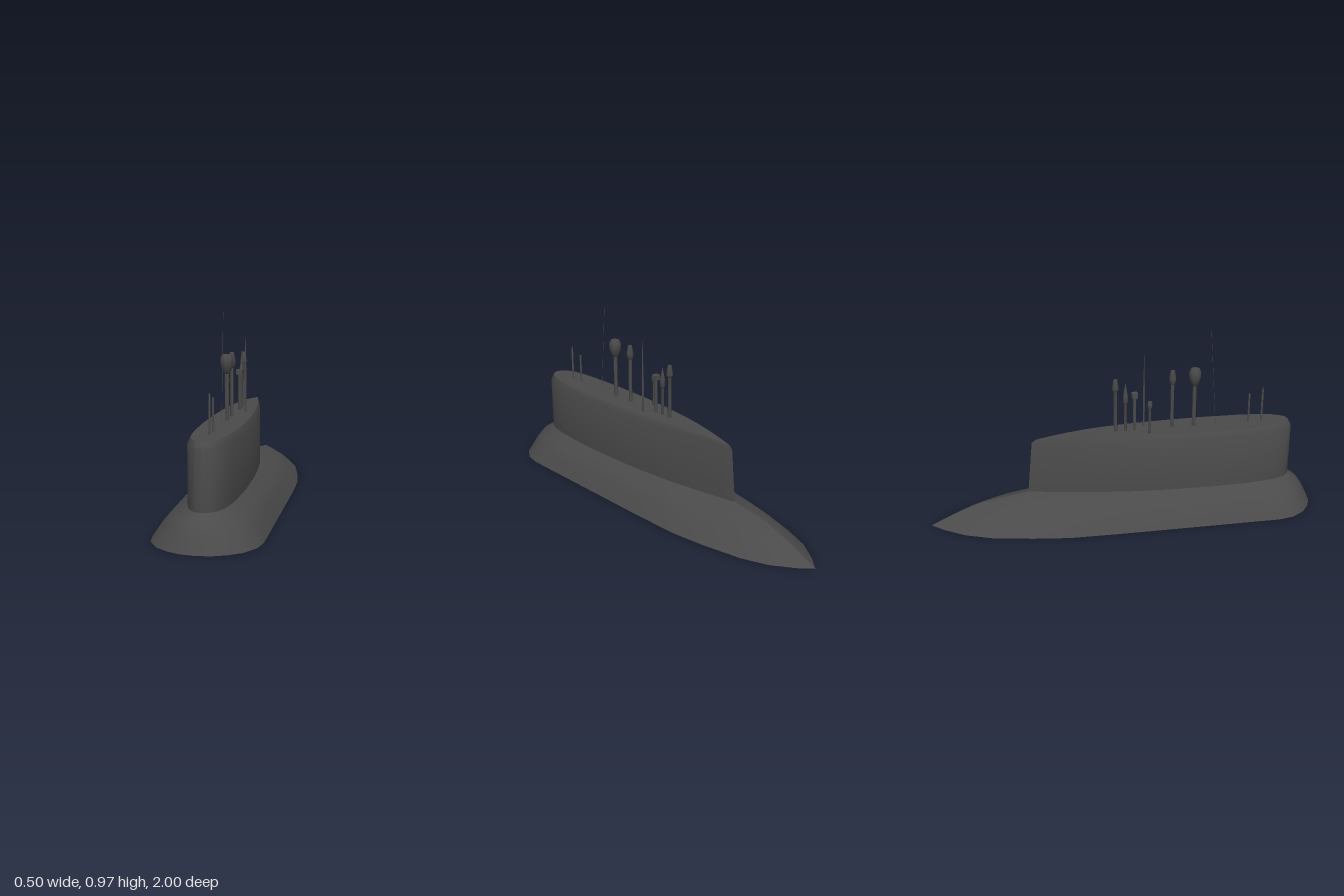
import * as THREE from 'three';
import { toCreasedNormals } from 'three/addons/utils/BufferGeometryUtils.js';

const material = new THREE.MeshStandardMaterial({ color: 0x4a4a4a, side: THREE.DoubleSide });

// Half outlines [x, z] from bow to stern; matching points are joined
const RIM = [[0, 1], [0.07, 0.99], [0.13, 0.965], [0.19, 0.92], [0.235, 0.85], [0.25, 0.77], [0.25, 0.5], [0.25, 0.2],
  [0.25, -0.05], [0.245, -0.32], [0.22, -0.5], [0.18, -0.7], [0.13, -0.83], [0.06, -0.935], [0, -1]];
const SAIL = [[0, 0.88], [0.03, 0.873], [0.055, 0.85], [0.08, 0.8], [0.094, 0.73], [0.103, 0.64], [0.11, 0.45], [0.105, 0.22],
  [0.093, 0.05], [0.076, -0.1], [0.058, -0.21], [0.038, -0.32], [0.02, -0.41], [0.008, -0.47], [0, -0.5]];

// Mirror a half outline into a closed ring
const ring = (half, y) => {
  const pts = half.map(([x, z]) => [x, y(z), z]);
  return [...pts, ...pts.slice(1, -1).reverse().map(([x, h, z]) => [-x, h, z])];
};

// Skin between successive rings, optionally capped across the last one
function loft(name, rings, cap) {
  const n = rings[0].length;
  const index = [];
  for (let r = 0; r < rings.length - 1; r++) {
    for (let i = 0; i < n; i++) {
      const a = r * n + i, b = r * n + (i + 1) % n;
      index.push(a, b, b + n, a, b + n, a + n);
    }
  }
  if (cap) {
    const o = (rings.length - 1) * n;
    for (let i = 0; i < n / 2; i++) {
      const a = o + i, b = o + i + 1, c = o + (n - i - 1) % n, d = o + (n - i) % n;
      if (c !== b) index.push(a, b, c);
      if (d !== a) index.push(a, c, d);
    }
  }
  const geometry = new THREE.BufferGeometry();
  geometry.setAttribute('position', new THREE.Float32BufferAttribute(rings.flat(2), 3));
  geometry.setIndex(index);
  const mesh = new THREE.Mesh(toCreasedNormals(geometry, 0.65), material);
  mesh.name = name;
  return mesh;
}

// Turned mast from a [radius, height] profile, starting at the deck
function mast(name, x, z, profile, sides = 8) {
  const pts = profile.map(([r, y]) => new THREE.Vector2(r, y));
  const mesh = new THREE.Mesh(toCreasedNormals(new THREE.LatheGeometry(pts, sides), 0.9), material);
  mesh.position.set(x, 0, z);
  mesh.name = name;
  return mesh;
}

export function createModel() {
  const group = new THREE.Group();

  // Hull: open-bottomed shell curving from the rim up to the sail foot
  const hullRings = [[0, 0], [0.3, 0.07], [0.54, 0.112], [1, 0.15]].map(([t, y]) =>
    ring(RIM.map(([x, z], i) => [x + (SAIL[i][0] - x) * t, z + (SAIL[i][1] - z) * t]), () => y));
  group.add(loft('hull', hullRings, false));

  // Sail: raked tail, chamfered edge and a deck drooping slightly aft
  const rake = (z, k) => (z < 0 ? z * k : z);
  const droop = (z) => (z < -0.15 ? 0.016 * ((-0.15 - z) / 0.3) ** 2 : 0);
  const shoulder = SAIL.map(([x, z]) => [x, rake(z, 0.945)]);
  const deck = SAIL.map(([x, z]) => [x * 0.86, z > 0 ? z * 0.982 : z * 0.91]);
  group.add(loft('sail', [
    ring(SAIL, () => 0.15),
    ring(shoulder, (z) => 0.428 - droop(z) * 0.3),
    ring(deck, (z) => 0.455 - droop(z)),
  ], true));

  // Masts with bulbous or pointed heads
  const foot = 0.43;
  group.add(
    mast('radarMast', 0, 0.36, [[0.01, foot], [0.01, 0.675], [0.016, 0.678], [0.031, 0.72], [0.031, 0.75], [0.022, 0.767], [0, 0.767]]),
    mast('periscope', 0, 0.245, [[0.009, foot], [0.009, 0.69], [0.013, 0.692], [0.019, 0.722], [0.01, 0.765], [0, 0.765]]),
    mast('sideMast', -0.05, 0.12, [[0.007, foot], [0.007, 0.585], [0.014, 0.605], [0.01, 0.626], [0, 0.626]]),
    mast('spikeAntenna', 0.04, 0.107, [[0.005, foot], [0.005, 0.62], [0.003, 0.72], [0.0008, 0.838]]),
    mast('squareHeadMast', 0, 0.052, [[0.008, foot], [0.008, 0.635]]),
    mast('pointedMast', 0, 0.005, [[0.007, foot], [0.007, 0.605], [0.013, 0.61], [0.012, 0.65], [0, 0.715]]),
    mast('aftMast', 0, -0.046, [[0.009, foot], [0.009, 0.67], [0.018, 0.685], [0.01, 0.735], [0, 0.735]]),
    mast('bowAntenna', 0, 0.72, [[0.005, foot], [0.005, 0.62], [0.002, 0.64], [0, 0.64]]),
    mast('bowPost', 0, 0.65, [[0.005, foot], [0.005, 0.608], [0, 0.608]]),
  );

  // Box head
  const head = new THREE.Mesh(new THREE.BoxGeometry(0.03, 0.026, 0.03), material);
  head.position.set(0, 0.645, 0.052);
  head.name = 'squareHead';
  group.add(head);

  // Thin leaning whip aerial
  const whipPath = new THREE.LineCurve3(new THREE.Vector3(0, 0.44, 0.477), new THREE.Vector3(0, 0.97, 0.435));
  const whip = new THREE.Mesh(new THREE.TubeGeometry(whipPath, 1, 0.0008, 5), material);
  whip.name = 'whipAerial';
  group.add(whip);

  return group;
}
